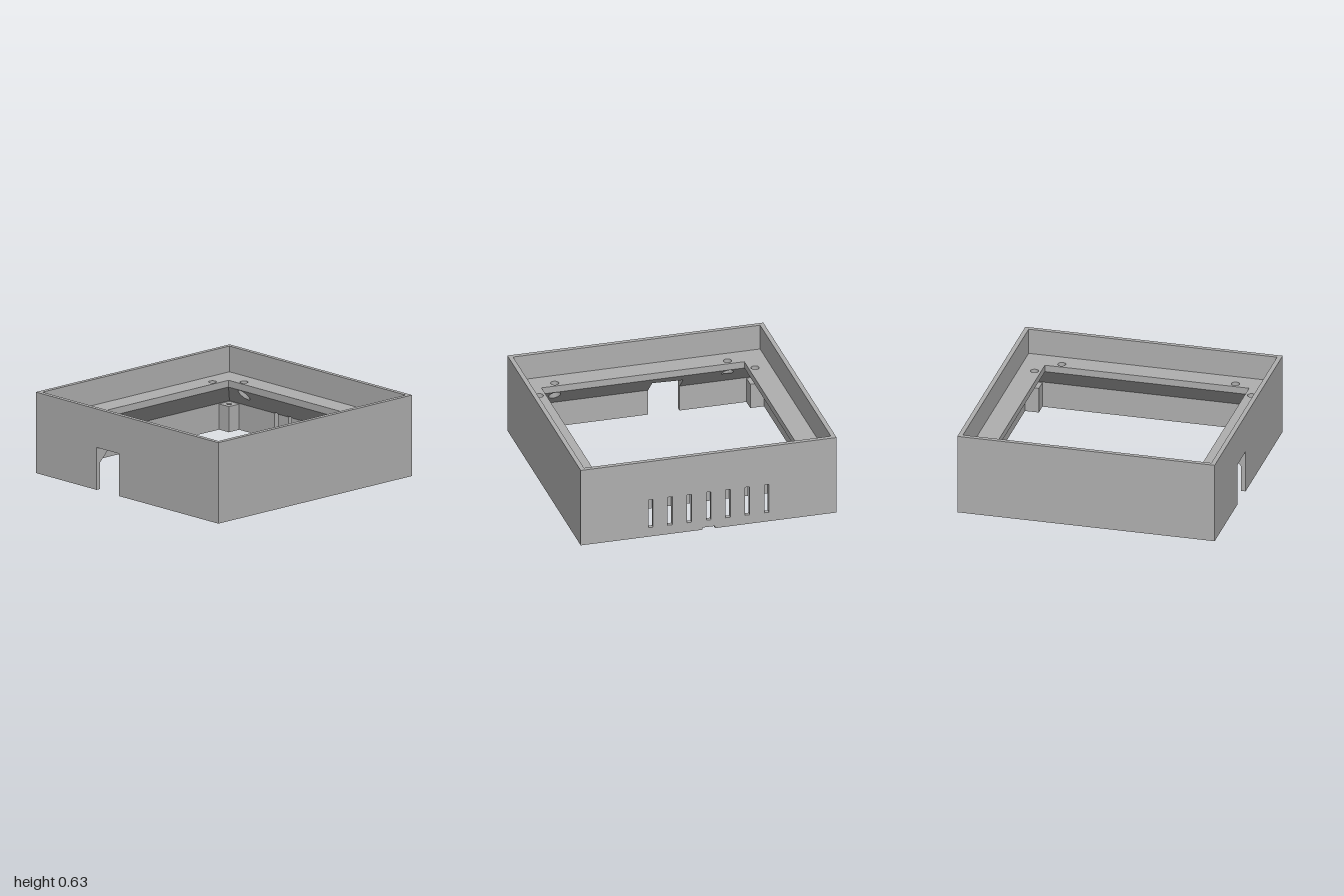
import * as THREE from 'three';

const IN = 0.965;            // inner face of the walls
const OPEN = 0.793;          // half size of the central opening
const H = 0.63;              // total height
const SLOPE_Y = 0.205;       // where the sloped underside meets the walls
const PLATE_Y = SLOPE_Y + IN - OPEN, LEDGE_Y = 0.43;
const NOTCH = { x0: -0.335, x1: -0.09, y: 0.33 };
const SLOT = { w: 0.037, y0: 0.075, y1: 0.31, depth: 0.008 };
const slotXs = [-3, -2, -1, 0, 1, 2, 3].map((k) => k * 0.151);
const SCREW = { u: 0.675, d: 0.843, r: 0.031, bore: 0.045 };

const slopeY = (d) => SLOPE_Y + IN - d;

function poly(points) {
  return new THREE.Shape(points.map(([x, y]) => new THREE.Vector2(x, y)));
}
function rect(x0, y0, x1, y1) {
  return poly([[x0, y0], [x1, y0], [x1, y1], [x0, y1]]);
}
function circle(x, y, r) {
  return new THREE.Path().absarc(x, y, r, 0, Math.PI * 2, true);
}
function extrude(shape, depth) {
  return new THREE.ExtrudeGeometry(shape, { depth, bevelEnabled: false, curveSegments: 24 });
}

export function createModel() {
  const model = new THREE.Group();
  model.name = 'enclosureFrame';
  const grey = new THREE.MeshStandardMaterial({ color: 0xb0b0b0 });
  grey.name = 'grey plastic';
  const greyOpen = new THREE.MeshStandardMaterial({ color: 0xb0b0b0, side: THREE.DoubleSide });
  greyOpen.name = 'grey plastic open surface';

  function add(name, geometry, material = grey, parent = model) {
    const mesh = new THREE.Mesh(geometry, material);
    mesh.name = name;
    parent.add(mesh);
    return mesh;
  }

  // Plain side walls
  for (const s of [-1, 1]) {
    add(s > 0 ? 'leftWall' : 'rightWall', new THREE.BoxGeometry(1 - IN, H, 2))
      .position.set(s * (1 + IN) / 2, H / 2, 0);
  }

  // Front wall with the cable notch
  add('frontWall', extrude(poly([
    [-IN, 0], [NOTCH.x0, 0], [NOTCH.x0, NOTCH.y], [NOTCH.x1, NOTCH.y], [NOTCH.x1, 0],
    [IN, 0], [IN, H], [-IN, H],
  ]), 1 - IN)).position.z = IN;
  add('frontWallEnds', extrude(rect(-1, 0, -IN, H), 0.001)).position.z = 0.999;

  // Back wall with vent slots and a small pry nick in its lower edge
  const back = poly([
    [-IN, 0], [-0.05, 0], [-0.05, 0.018], [0.05, 0.018], [0.05, 0], [IN, 0], [IN, H], [-IN, H],
  ]);
  for (const x of slotXs) {
    back.holes.push(rect(x - SLOT.w / 2, SLOT.y0, x + SLOT.w / 2, SLOT.y1));
  }
  add('backWall', extrude(back, 1 - IN)).position.z = -1;

  // Blind upper ends of the vent slots, behind the wall
  for (const x of slotXs) {
    const y0 = SLOPE_Y + SLOT.depth;
    add('ventSlotEnd', new THREE.PlaneGeometry(SLOT.w, SLOT.y1 - y0), greyOpen)
      .position.set(x, (SLOT.y1 + y0) / 2, -IN + SLOT.depth);
  }

  // Recessed ledge plate with the opening and eight screw holes
  const plate = rect(-IN, -IN, IN, IN);
  plate.holes.push(rect(-OPEN, -OPEN, OPEN, OPEN));
  for (const sx of [-1, 1]) for (const sz of [-1, 1]) {
    plate.holes.push(circle(sx * SCREW.u, sz * SCREW.d, SCREW.r));
    plate.holes.push(circle(sx * SCREW.d, sz * SCREW.u, SCREW.r));
  }
  add('ledge', extrude(plate, LEDGE_Y - PLATE_Y).rotateX(-Math.PI / 2)).position.y = PLATE_Y;

  // Sloped underside of the ledge, one mitred strip per side (plan shape lifted by slopeY)
  const notchD = IN + SLOPE_Y - NOTCH.y;
  ['front', 'left', 'back', 'right'].forEach((name, i) => {
    const side = new THREE.Group();
    side.name = name + 'LedgeSupport';
    side.rotation.y = i * Math.PI / 2;
    model.add(side);

    const outline = [[-OPEN, OPEN], [OPEN, OPEN], [IN, IN]];
    if (name === 'front') {
      outline.push([NOTCH.x1, IN], [NOTCH.x1, notchD], [NOTCH.x0, notchD], [NOTCH.x0, IN]);
    }
    if (name === 'back') {
      for (const x of [...slotXs].reverse()) {
        const a = x + SLOT.w / 2, b = x - SLOT.w / 2, d = IN - SLOT.depth;
        outline.push([a, IN], [a, d], [b, d], [b, IN]);
      }
    }
    outline.push([-IN, IN]);
    const shape = poly(outline);
    for (const s of [-1, 1]) shape.holes.push(circle(s * SCREW.u, SCREW.d, SCREW.bore));

    const slope = new THREE.ShapeGeometry(shape, 24);
    const p = slope.attributes.position;
    for (let k = 0; k < p.count; k++) {
      const d = p.getY(k);
      p.setXYZ(k, p.getX(k), slopeY(d), d);
    }
    slope.computeVertexNormals();
    add('slopedUnderside', slope, grey, side);

    // Counterbores, their lower rims following the slope
    for (const s of [-1, 1]) {
      const bore = new THREE.CylinderGeometry(SCREW.bore, SCREW.bore, 1, 24, 1, true);
      const q = bore.attributes.position;
      for (let k = 0; k < q.count; k++) {
        const d = q.getZ(k) + SCREW.d;
        q.setXYZ(k, q.getX(k) + s * SCREW.u, q.getY(k) > 0 ? PLATE_Y : slopeY(d), d);
      }
      add('screwCounterbore', bore, greyOpen, side);
    }
  });

  // Ceiling and cheeks where the notch cuts into the sloped support
  add('notchCeiling', new THREE.PlaneGeometry(NOTCH.x1 - NOTCH.x0, IN - notchD).rotateX(Math.PI / 2), greyOpen)
    .position.set((NOTCH.x0 + NOTCH.x1) / 2, NOTCH.y, (IN + notchD) / 2);
  for (const x of [NOTCH.x0, NOTCH.x1]) {
    const cheek = new THREE.ShapeGeometry(poly([[-IN, SLOPE_Y], [-IN, NOTCH.y], [-notchD, NOTCH.y]]));
    add('notchCheek', cheek.rotateY(Math.PI / 2), greyOpen).position.x = x;
  }

  // Corner screw posts, bored through
  const POST = 0.107, mid = IN - POST / 2;
  for (const sx of [-1, 1]) for (const sz of [-1, 1]) {
    const shape = rect(-POST / 2, -POST / 2, POST / 2, POST / 2);
    shape.holes.push(circle(0, 0, 0.02));
    add('cornerPost', extrude(shape, 0.2).rotateX(-Math.PI / 2)).position.set(sx * mid, 0, sz * mid);
  }

  return model;
}
